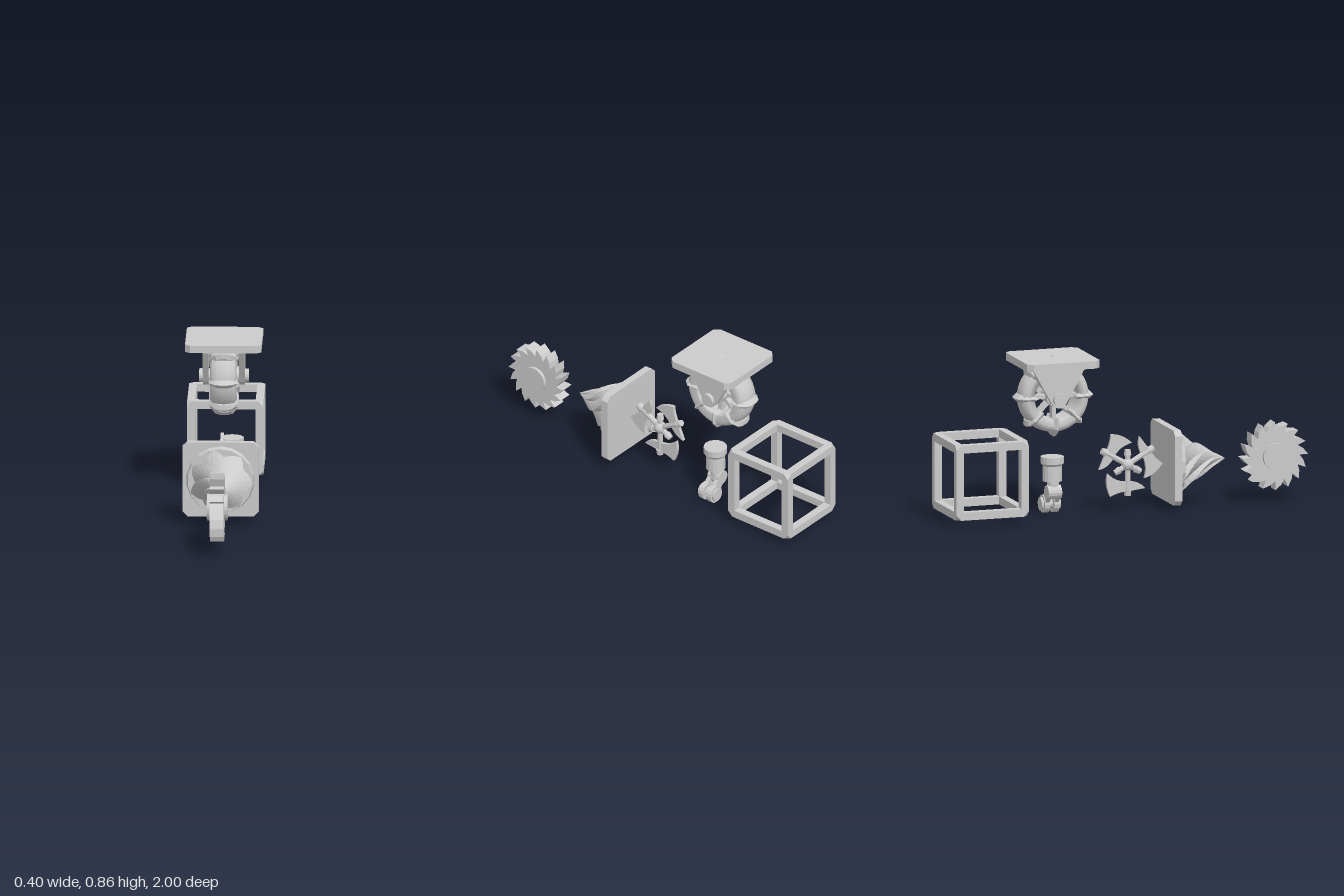
import * as THREE from 'three';
import { ConvexGeometry } from 'three/addons/geometries/ConvexGeometry.js';

const flat = new THREE.MeshStandardMaterial({ color: 0xcccccc, flatShading: true });
const smooth = new THREE.MeshStandardMaterial({ color: 0xcccccc, side: THREE.DoubleSide });

function add(parent, name, geometry, x = 0, y = 0, z = 0, material = flat) {
  const m = new THREE.Mesh(geometry, material);
  m.name = name;
  m.position.set(x, y, z);
  parent.add(m);
  return m;
}

function group(parent, name, x, y, z) {
  const g = new THREE.Group();
  g.name = name;
  g.position.set(x, y, z);
  parent.add(g);
  return g;
}

const shapeOf = (pts) => new THREE.Shape(pts.map(([x, y]) => new THREE.Vector2(x, y)));

// Extruded along z, centred
function slab(shape, depth) {
  return new THREE.ExtrudeGeometry(shape, { depth, bevelEnabled: false, curveSegments: 8 }).translate(0, 0, -depth / 2);
}
// Extruded along x, with shape x pointing to -z
const sideSlab = (shape, depth) => slab(shape, depth).rotateY(Math.PI / 2);
const cylX = (r, len, n = 20) => new THREE.CylinderGeometry(r, r, len, n).rotateZ(Math.PI / 2);
const cylZ = (r, len, n = 16) => new THREE.CylinderGeometry(r, r, len, n).rotateX(Math.PI / 2);

// Square plate with cut corners
function plateShape(h = 0.2, c = 0.027) {
  return shapeOf([[h, -h + c], [h, h - c], [h - c, h], [c - h, h], [-h, h - c], [-h, c - h], [c - h, -h], [h - c, -h]]);
}

function buildSaw(root) {
  const g = group(root, 'sawBlade', 0, 0.245, 0.82);
  const pts = [], n = 16, step = Math.PI * 2 / n;
  for (let i = 0; i < n; i++) {
    for (const [f, r] of [[0, 0.135], [0.45, 0.158], [0.98, 0.182]]) {
      const a = (i + f) * step;
      pts.push([r * Math.cos(a), r * Math.sin(a)]);
    }
  }
  add(g, 'toothedDisc', sideSlab(shapeOf(pts), 0.074));
  add(g, 'sawHub', cylX(0.07, 0.108));
}

function buildDrill(root) {
  const g = group(root, 'drill', 0, 0.245, 0);
  add(g, 'drillPlate', slab(plateShape(), 0.04), 0, 0, 0.23);
  add(g, 'drillCollar', new THREE.CylinderGeometry(0.172, 0.18, 0.03, 18).rotateX(Math.PI / 2), 0, 0, 0.265);
  // Cone with twisted saw-tooth flutes
  const flutes = 7, per = 4, n = flutes * per, len = 0.28;
  const geo = new THREE.CylinderGeometry(0.001, 0.17, len, n, 12, true).rotateX(Math.PI / 2);
  const p = geo.attributes.position;
  for (let i = 0; i < p.count; i++) {
    const t = 0.5 - p.getZ(i) / len;
    const a = Math.atan2(p.getY(i), p.getX(i));
    const j = (Math.round(a / (Math.PI * 2) * n) + n) % n;
    const r = 0.172 * t * (1 - 0.27 * (j % per) / (per - 1));
    const b = a - 2.1 * (1 - t);
    p.setXY(i, r * Math.cos(b), r * Math.sin(b));
  }
  add(g, 'drillCone', geo, 0, 0, 0.275 + len / 2);
}

function buildAxes(root) {
  const g = group(root, 'spinningAxes', 0, 0.245, 0.015);
  const s = new THREE.Shape();
  s.moveTo(-0.095, -0.13);
  s.quadraticCurveTo(-0.05, -0.135, -0.015, -0.14);
  s.quadraticCurveTo(0.05, -0.14, 0.098, -0.165);
  s.quadraticCurveTo(0.13, -0.1, 0.112, -0.04);
  s.quadraticCurveTo(0.07, -0.085, 0.015, -0.09);
  s.quadraticCurveTo(-0.06, -0.085, -0.095, -0.13);
  for (let i = 0; i < 3; i++) {
    const arm = group(g, 'axe', 0, 0, 0);
    arm.rotation.x = i * Math.PI * 2 / 3;
    add(arm, 'axeBlade', sideSlab(s, 0.018));
    add(arm, 'axeHandle', new THREE.CylinderGeometry(0.015, 0.015, 0.22, 8), 0, -0.04, 0);
    add(arm, 'handleTip', new THREE.CylinderGeometry(0.022, 0.018, 0.03, 8), 0, -0.15, 0);
    add(arm, 'handlePommel', new THREE.CylinderGeometry(0.016, 0.021, 0.03, 8), 0, 0.066, 0);
  }
  add(g, 'axeHub', new THREE.IcosahedronGeometry(0.034, 1));
}

function buildCaster(root) {
  const g = group(root, 'spikedCaster', 0, 0.64, -0.4);
  add(g, 'mountPlate', slab(plateShape(), 0.04).rotateX(Math.PI / 2), 0, 0.19, 0);
  // Tapered fork brackets
  const b = new THREE.Shape();
  b.moveTo(-0.15, 0.172);
  b.lineTo(-0.04, -0.025);
  b.quadraticCurveTo(0, -0.075, 0.04, -0.025);
  b.lineTo(0.15, 0.172);
  for (const side of [-1, 1]) add(g, 'forkBracket', sideSlab(b, 0.03), side * 0.095, 0, 0);
  add(g, 'axle', cylX(0.036, 0.26));
  // Tyre turned around the axle
  const prof = [[0.12, -0.062], [0.155, -0.07], [0.178, -0.058], [0.188, -0.03], [0.191, 0],
    [0.188, 0.03], [0.178, 0.058], [0.155, 0.07], [0.12, 0.062], [0.12, -0.062]];
  add(g, 'tyre', new THREE.LatheGeometry(prof.map(([x, y]) => new THREE.Vector2(x, y)), 40).rotateZ(Math.PI / 2), 0, 0, 0, smooth);
  add(g, 'wheelHub', cylX(0.05, 0.1, 16));
  // Ridged straps and spokes
  const strap = shapeOf([[-0.057, 0.125], [0.057, 0.125], [0.057, 0.165], [0.035, 0.19], [0.015, 0.196],
    [-0.015, 0.196], [-0.035, 0.19], [-0.057, 0.165]]);
  const strapGeo = new THREE.ExtrudeGeometry(strap, {
    depth: 0.003, bevelEnabled: true, bevelThickness: 0.019, bevelSize: 0.02, bevelSegments: 1,
  }).translate(0, 0, -0.0015);
  for (let i = 0; i < 8; i++) {
    const arm = group(g, 'strapAndSpoke', 0, 0, 0);
    arm.rotation.x = i * Math.PI / 4;
    add(arm, 'spikedStrap', strapGeo);
    add(arm, 'spoke', new THREE.BoxGeometry(0.04, 0.09, 0.022), 0, 0.085, 0);
  }
}

function buildPiston(root) {
  const g = group(root, 'jointedArm', 0, 0, -0.388);
  add(g, 'armCap', new THREE.CylinderGeometry(0.062, 0.062, 0.035, 16), 0.042, 0.29, 0);
  add(g, 'armCapTaper', new THREE.CylinderGeometry(0.062, 0.05, 0.015, 16), 0.042, 0.265, 0);
  add(g, 'upperArm', new THREE.CylinderGeometry(0.05, 0.052, 0.085, 16), 0.04, 0.22, 0);
  add(g, 'neck', new THREE.CylinderGeometry(0.032, 0.032, 0.09, 12), 0.032, 0.155, 0);
  add(g, 'elbow', cylZ(0.038, 0.075), 0.025, 0.12, 0);
  // Forked lower link with a disc on each side
  for (const side of [-1, 1]) {
    const link = add(g, 'lowerLink', new THREE.BoxGeometry(0.1, 0.055, 0.022), 0.055, 0.088, side * 0.025);
    link.rotation.z = Math.atan2(-0.07, 0.065);
    add(g, 'jointDisc', cylZ(0.048, 0.03), 0.087, 0.048, side * 0.026);
    add(g, 'jointCap', cylZ(0.035, 0.014), 0.087, 0.048, side * 0.046);
  }
  add(g, 'jointPin', cylZ(0.025, 0.06), 0.087, 0.048, 0);
}

function buildCage(root) {
  const g = group(root, 'cubeFrame', 0, 0.245, -0.8);
  const h = 0.2, w = 0.042, c = 0.027, m = h - w / 2;
  const len = 2 * (h - w);
  for (const u of [-m, m]) {
    for (const v of [-m, m]) {
      add(g, 'frameBar', new THREE.BoxGeometry(len, w, w), 0, u, v);
      add(g, 'frameBar', new THREE.BoxGeometry(w, len, w), u, 0, v);
      add(g, 'frameBar', new THREE.BoxGeometry(w, w, len), u, v, 0);
    }
  }
  // Corner blocks with the outer point cut off
  const i = h - w, k = h - c;
  const corner = [[i, i, i], [h, i, i], [i, h, i], [i, i, h], [h, h, i], [h, i, h], [i, h, h], [k, h, h], [h, k, h], [h, h, k]];
  for (const sx of [-1, 1]) for (const sy of [-1, 1]) for (const sz of [-1, 1]) {
    add(g, 'frameCorner', new ConvexGeometry(corner.map(([x, y, z]) => new THREE.Vector3(x * sx, y * sy, z * sz))));
  }
}

export function createModel() {
  const root = new THREE.Group();
  root.name = 'machineParts';
  buildSaw(root);
  buildDrill(root);
  buildAxes(root);
  buildCaster(root);
  buildPiston(root);
  buildCage(root);
  return root;
}
